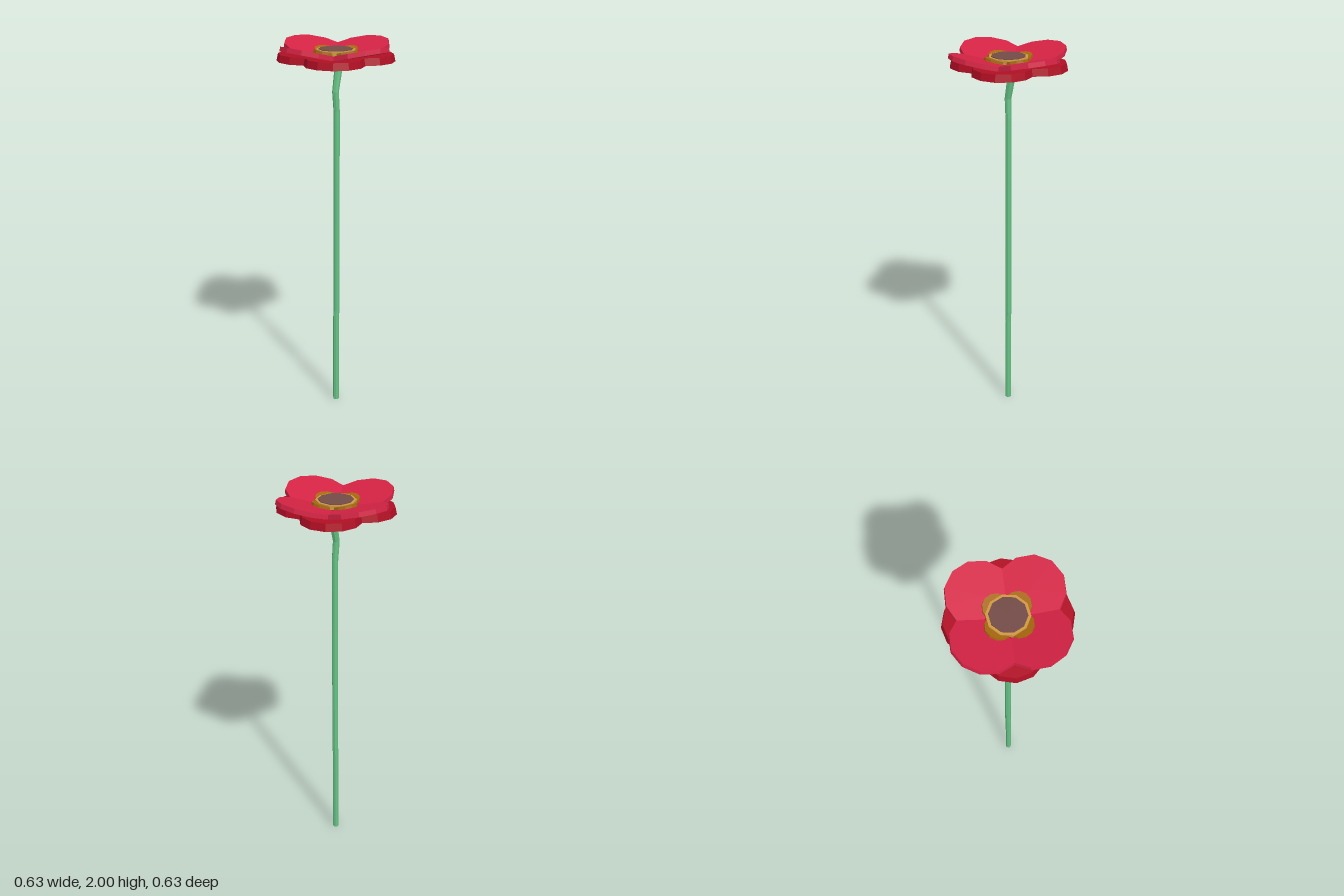
import * as THREE from 'three';

const mat = (name, color) => {
  const m = new THREE.MeshStandardMaterial({ color, flatShading: true });
  m.name = name;
  return m;
};

export function createModel() {
  const flower = new THREE.Group();
  flower.name = 'flower';
  const petalRed = mat('petal red', 0xd42344);
  const deepRed = mat('deep red', 0xb00e24);
  const darkGold = mat('dark gold', 0xa8680f);
  const lightGold = mat('light gold', 0xcf9842);
  const brown = mat('seed brown', 0x734b46);
  const green = mat('stem green', 0x66c285);

  // Flat disc whose top face lies at y = top
  const disc = (name, material, rTop, rBottom, thickness, sides, top) => {
    const geo = new THREE.CylinderGeometry(rTop, rBottom, thickness, sides);
    geo.translate(0, -thickness / 2, 0);
    const mesh = new THREE.Mesh(geo, material);
    mesh.name = name;
    mesh.position.y = top;
    return mesh;
  };

  // Four discs around the centre, each tilted up at its outer end
  const ring = (name, start, tilt, offset, makeDisc) => {
    const group = new THREE.Group();
    group.name = name;
    for (let i = 0; i < 4; i++) {
      const arm = new THREE.Group();
      arm.rotation.y = start + i * Math.PI / 2;
      const d = makeDisc();
      d.position.z = offset;
      d.rotation.x = -tilt;
      arm.add(d);
      group.add(arm);
    }
    flower.add(group);
  };

  // Lower petals on the diagonals, upper petals on the axes
  ring('lowerPetals', Math.PI / 4, 0, 0.145,
    () => disc('lowerPetal', deepRed, 0.142, 0.15, 0.036, 12, 1.941));
  ring('upperPetals', 0, 0.245, 0.153,
    () => disc('upperPetal', petalRed, 0.16, 0.16, 0.023, 12, 1.961));

  // Flower centre
  ring('innerPetals', 0, 0.25, 0.065,
    () => disc('innerPetal', darkGold, 0.064, 0.064, 0.018, 12, 1.952));
  flower.add(disc('centreRim', lightGold, 0.1, 0.1, 0.03, 10, 1.963));
  flower.add(disc('seedHead', brown, 0.087, 0.087, 0.006, 10, 1.966));

  // Stem: rows are [y, x, z, radius]
  const rows = [
    [0, 0.002, 0, 0.016], [0.5, 0.002, 0, 0.016], [0.55, 0.002, -0.003, 0.016],
    [1.65, 0.002, -0.004, 0.016], [1.75, 0.001, 0.003, 0.017],
    [1.85, -0.003, -0.018, 0.02], [1.92, -0.003, -0.01, 0.021],
  ];
  const stemGeo = new THREE.CylinderGeometry(1, 1, rows.length - 1, 8, rows.length - 1);
  const p = stemGeo.attributes.position;
  for (let i = 0; i < p.count; i++) {
    const [y, x, z, r] = rows[Math.round(p.getY(i) + (rows.length - 1) / 2)];
    p.setXYZ(i, x + p.getX(i) * r, y, z + p.getZ(i) * r);
  }
  stemGeo.computeVertexNormals();
  const stem = new THREE.Mesh(stemGeo, green);
  stem.name = 'stem';
  flower.add(stem);
  return flower;
}
